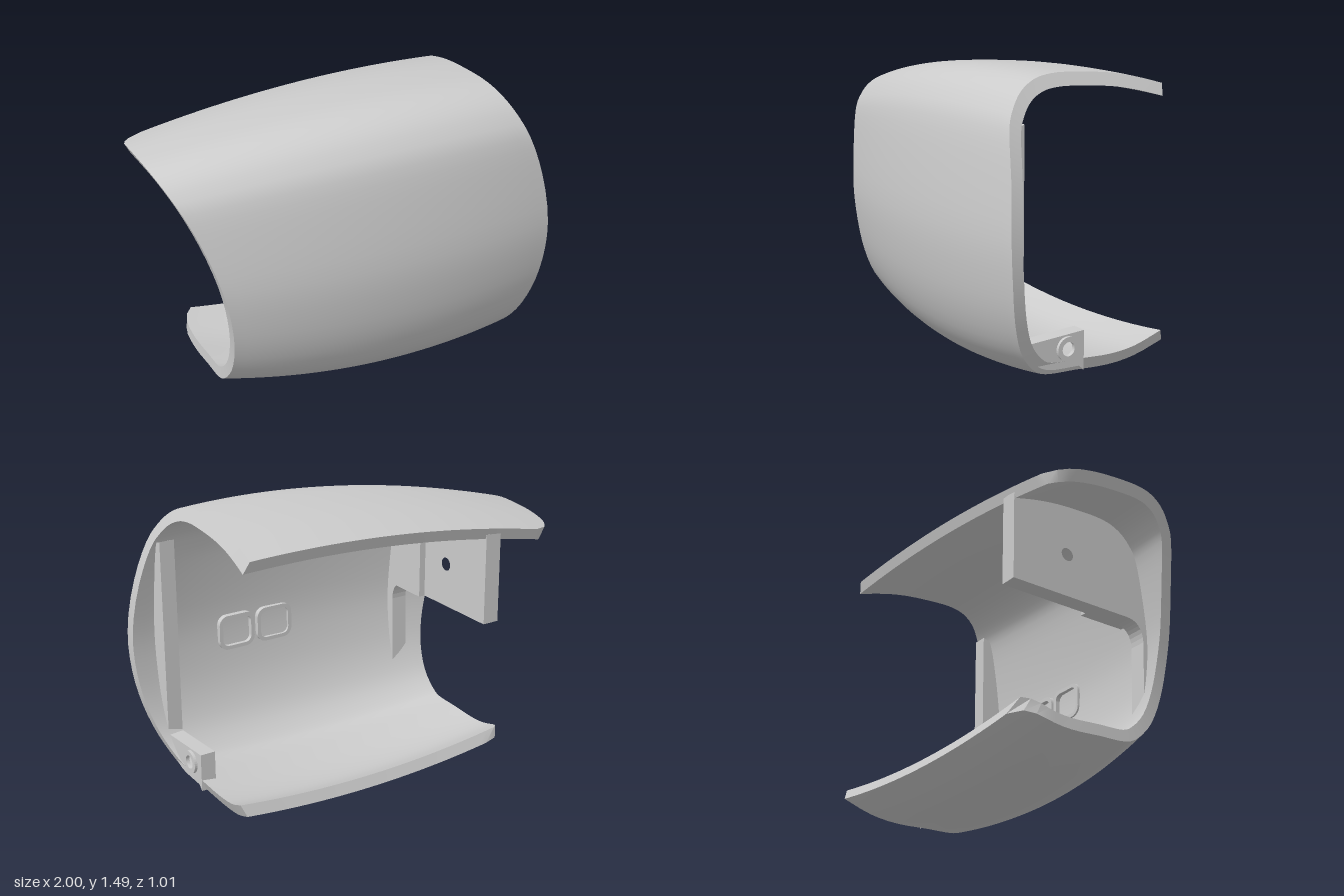
import * as THREE from 'three';
import { toCreasedNormals } from 'three/addons/utils/BufferGeometryUtils.js';

const WALL = 0.06;
const BACK = -0.51;
const CORNER = 0.13;

// Wall section as (z, y), from the top back edge over the front to the bottom back edge
const section = new THREE.SplineCurve([
  [-0.51, 1.41], [-0.36, 1.45], [-0.2, 1.478], [0, 1.493], [0.12, 1.493], [0.22, 1.475], [0.31, 1.43], [0.38, 1.36],
  [0.435, 1.26], [0.475, 1.05], [0.505, 0.76], [0.49, 0.53], [0.45, 0.34], [0.38, 0.18], [0.28, 0.07],
  [0.18, 0.02], [0, 0.01], [-0.2, 0], [-0.36, 0.022], [-0.51, 0.085],
].map(([z, y]) => new THREE.Vector2(z, y)));

// Bulging outline of the shell along x
const yTop = (x) => 1.495 - 0.083 * (x - 0.55) ** 2;
const yBottom = (x) => 0.1 * (x - 0.15) ** 2;
const zFront = (x) => 0.505 - 0.12 * (x - 0.4) ** 2;

// Curved end cuts, the right one with rounded back corners
const leftEnd = (y) => 1 - 0.365 * (y - 0.72) ** 2;
function rightEnd(y, z) {
  const d = THREE.MathUtils.clamp((BACK + CORNER - z) / CORNER, 0, 1);
  return -0.7 - 0.3 * ((y - 0.25) / 1.05) ** 2 + CORNER * (1 - Math.sqrt(1 - d * d));
}

function outerPoint(x, u) {
  const p = section.getPoint(u);
  return new THREE.Vector2(
    BACK + (zFront(x) - BACK) * (p.x - BACK) / 1.015,
    yBottom(x) + (yTop(x) - yBottom(x)) * p.y / 1.495);
}

// Point of the wall at a given depth below the outer surface
function wallPoint(x, u, depth) {
  const p = outerPoint(x, u);
  if (depth === 0) return p;
  const t = outerPoint(x, Math.min(1, u + 0.004)).sub(outerPoint(x, Math.max(0, u - 0.004))).normalize();
  p.set(p.x + t.y * depth, p.y - t.x * depth);
  p.x = Math.max(p.x, BACK);
  return p;
}

function wallPoints(x, keep) {
  const pts = [];
  for (let i = 0; i <= 76; i++) {
    const p = wallPoint(x, i / 76, WALL / 2);
    if (keep(p)) pts.push(p);
  }
  return pts;
}

function shellGeometry() {
  const n = 58, m = 2 * n, rows = 28, pos = [], index = [];
  for (let r = 0; r <= rows; r++) {
    for (let k = 0; k < m; k++) {
      const outer = k < n;
      const u = (outer ? k : m - 1 - k) / (n - 1);
      let x = -0.8 + 1.7 * r / rows, p;
      for (let it = 0; it < 8; it++) {
        p = wallPoint(x, u, outer ? 0 : WALL);
        x = THREE.MathUtils.lerp(rightEnd(p.y, p.x), leftEnd(p.y), r / rows);
      }
      pos.push(x, p.y, p.x);
    }
  }
  const quad = (a, b, c, d) => index.push(a, b, c, a, c, d);
  for (let r = 0; r < rows; r++) {
    for (let k = 0; k < m; k++) {
      const a = r * m + k, b = r * m + (k + 1) % m;
      quad(a, b, b + m, a + m);
    }
  }
  // End rims
  const e = rows * m;
  for (let k = 0; k < n - 1; k++) {
    quad(e + k, e + k + 1, e + m - 2 - k, e + m - 1 - k);
    quad(m - 1 - k, m - 2 - k, k + 1, k);
  }
  const g = new THREE.BufferGeometry();
  g.setAttribute('position', new THREE.Float32BufferAttribute(pos, 3));
  g.setIndex(index);
  return toCreasedNormals(g, 0.5);
}

const circle = (z, y, r) => new THREE.Path().absarc(z, y, r, 0, Math.PI * 2, true);

// Extrudes a (z, y) shape along x, between xMin and xMax
function slab(shape, xMin, xMax) {
  const g = new THREE.ExtrudeGeometry(shape, { depth: xMax - xMin, bevelEnabled: false, curveSegments: 16 });
  return g.rotateY(-Math.PI / 2).translate(xMax, 0, 0);
}

function roundedRect(path, x, y, w, h, r) {
  path.moveTo(x - w / 2 + r, y - h / 2);
  path.absarc(x + w / 2 - r, y - h / 2 + r, r, -Math.PI / 2, 0, false);
  path.absarc(x + w / 2 - r, y + h / 2 - r, r, 0, Math.PI / 2, false);
  path.absarc(x - w / 2 + r, y + h / 2 - r, r, Math.PI / 2, Math.PI, false);
  path.absarc(x - w / 2 + r, y - h / 2 + r, r, Math.PI, Math.PI * 1.5, false);
  return path;
}

export function createModel() {
  const group = new THREE.Group();
  const material = new THREE.MeshStandardMaterial({ color: 0xcccccc });
  const add = (name, geometry) => {
    const mesh = new THREE.Mesh(geometry, material);
    mesh.name = name;
    group.add(mesh);
  };
  const v = (z, y) => new THREE.Vector2(z, y);

  add('shell', shellGeometry());

  // Mounting plate with a fillet running into a thin rib down the front wall
  const fillet = new THREE.QuadraticBezierCurve(v(0.295, 0.7), v(0.29, 0.81), v(0.19, 0.81)).getPoints(8);
  const plate = new THREE.Shape([
    ...wallPoints(-0.575, (p) => p.y > 0.26), v(0.28, 0.26), ...fillet, v(-0.505, 0.81),
  ]);
  plate.holes.push(circle(-0.18, 1.04, 0.035));
  add('mountingPlate', slab(plate, -0.62, -0.53));

  // Raised pad on the plate
  add('platePad', new THREE.BoxGeometry(0.04, 0.46, 0.26).translate(-0.515, 1.04, 0.13));

  // Upright rib beside the left end
  const rib = new THREE.Shape([
    ...wallPoints(0.83, (p) => p.x > 0.3 && p.y > 0.22 && p.y < 1.28), v(0.31, 0.24), v(0.31, 1.28),
  ]);
  add('endRib', slab(rib, 0.79, 0.87));

  // Screw lug in the lower corner with a raised ring
  const lug = new THREE.Shape([
    ...wallPoints(0.83, (p) => p.x > -0.04 && p.y < 0.26), v(-0.04, 0.06), v(-0.04, 0.26),
  ]);
  lug.holes.push(circle(0.06, 0.185, 0.035));
  add('screwLug', slab(lug, 0.79, 0.87));
  const ring = new THREE.Shape().absarc(0.06, 0.185, 0.06, 0, Math.PI * 2, false);
  ring.holes.push(circle(0.06, 0.185, 0.035));
  add('lugRing', slab(ring, 0.865, 0.885));

  // Low pocket frames on the inside of the front wall
  for (const x of [0.16, 0.39]) {
    const frame = roundedRect(new THREE.Shape(), x, 0.67, 0.21, 0.19, 0.05);
    frame.holes.push(roundedRect(new THREE.Path(), x, 0.67, 0.17, 0.15, 0.035));
    const g = new THREE.ExtrudeGeometry(frame, { depth: 0.04, bevelEnabled: false, curveSegments: 5 });
    add('pocketFrame', g.translate(0, 0, 0.415));
  }
  return group;
}
